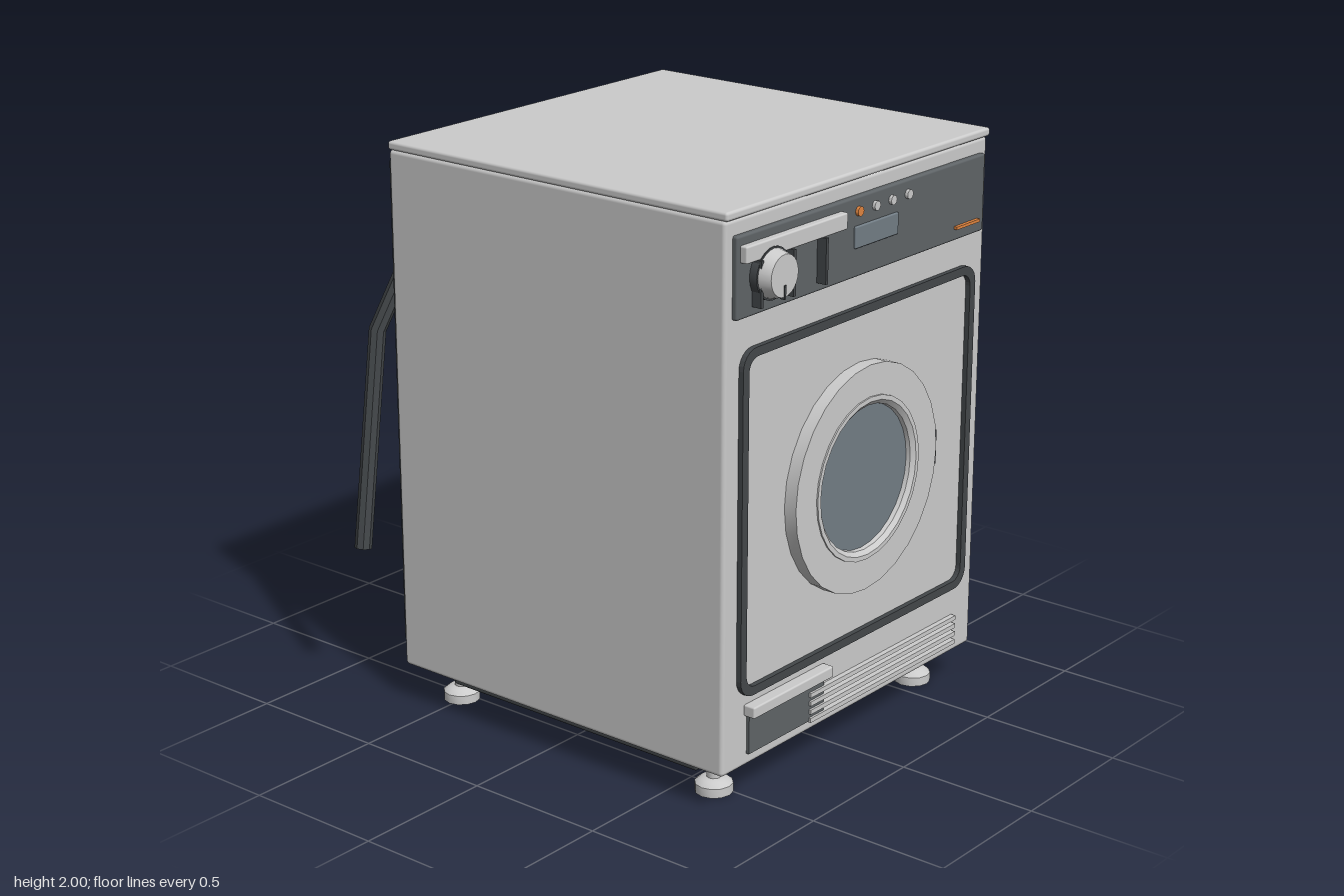
import * as THREE from 'three';
import { RoundedBoxGeometry } from 'three/addons/geometries/RoundedBoxGeometry.js';
import { toCreasedNormals } from 'three/addons/utils/BufferGeometryUtils.js';

const mat = (color) => new THREE.MeshStandardMaterial({ color });
const GREY = mat(0xcccccc);
const PANEL = mat(0x5f6467);
const DARK = mat(0x43474a);
const GLASS = mat(0x727d85);
const ORANGE = mat(0xe08540);

export function createModel() {
  const model = new THREE.Group();

  const add = (name, geometry, material) => {
    const mesh = new THREE.Mesh(geometry, material);
    mesh.name = name;
    model.add(mesh);
    return mesh;
  };
  // Box given by its limits on each axis; r rounds the edges
  const box = (name, material, [x0, x1], [y0, y1], [z0, z1], r = 0) => {
    const size = [x1 - x0, y1 - y0, z1 - z0];
    const geometry = r ? new RoundedBoxGeometry(...size, 2, r) : new THREE.BoxGeometry(...size);
    geometry.translate((x0 + x1) / 2, (y0 + y1) / 2, (z0 + z1) / 2);
    return add(name, geometry, material);
  };
  // Round part along z, from z0 to z1
  const disc = (name, material, x, y, [z0, z1], r0, r1 = r0, sides = 24) => {
    const geometry = new THREE.CylinderGeometry(r1, r0, z1 - z0, sides);
    geometry.rotateX(Math.PI / 2).translate(x, y, (z0 + z1) / 2);
    return add(name, toCreasedNormals(geometry, 0.6), material);
  };
  // Turned ring along z; profile points are [radius, z]
  const ring = (name, material, x, y, profile, sides = 28) => {
    const points = profile.map(([r, z]) => new THREE.Vector2(r, z));
    const geometry = new THREE.LatheGeometry(points, sides);
    geometry.rotateX(Math.PI / 2).translate(x, y, 0);
    const mesh = add(name, toCreasedNormals(geometry, 0.5), material.clone());
    mesh.material.side = THREE.DoubleSide;
    return mesh;
  };

  // Cabinet
  box('cabinet', GREY, [-0.665, 0.74], [0.135, 1.972], [-0.65, 0.757], 0.015);
  box('lid', GREY, [-0.667, 0.745], [1.97, 2], [-0.652, 0.765], 0.01);
  box('plinth', DARK, [-0.595, 0.64], [0.082, 0.14], [-0.485, 0.595], 0.01);

  // Levelling feet
  const footProfile = [[0, 0], [0.064, 0], [0.064, 0.032], [0.045, 0.048], [0.025, 0.052], [0.025, 0.14]]
    .map(([r, y]) => new THREE.Vector2(r, y));
  for (const x of [-0.53, 0.595]) {
    for (const z of [-0.51, 0.617]) {
      const geometry = toCreasedNormals(new THREE.LatheGeometry(footProfile, 12), 0.6);
      add('foot', geometry, GREY).position.set(x, 0, z);
    }
  }

  // Control panel and detergent drawer
  box('controlPanel', PANEL, [-0.63, 0.705], [1.655, 1.92], [0.745, 0.775], 0.008);
  box('drawerHandle', GREY, [-0.615, -0.1], [1.835, 1.89], [0.77, 0.8], 0.006);
  for (const x of [-0.55, -0.388, -0.222]) {
    box('drawerRib', DARK, [x - 0.006, x + 0.006], [1.685, 1.835], [0.77, 0.81]);
  }

  // Programme dial
  disc('dialBase', DARK, -0.485, 1.78, [0.77, 0.803], 0.085);
  disc('dial', GREY, -0.485, 1.78, [0.8, 0.845], 0.08, 0.068);
  box('dialPointer', DARK, [-0.489, -0.481], [1.705, 1.75], [0.83, 0.848]);

  // Indicator lights, display and accent strip
  for (let i = 0; i < 4; i++) {
    disc('indicator', i ? GREY : ORANGE, -0.013 + i * 0.09, 1.872, [0.77, 0.786], 0.016, 0.016, 12);
  }
  box('display', GLASS, [-0.034, 0.2], [1.752, 1.825], [0.765, 0.783], 0.005);
  box('accentStrip', ORANGE, [0.53, 0.665], [1.695, 1.705], [0.77, 0.788]);

  // Rounded frame around the door panel
  const roundedRect = (Type, x0, x1, y0, y1, r) => {
    const path = new Type();
    path.absarc(x1 - r, y1 - r, r, 0, Math.PI / 2);
    path.absarc(x0 + r, y1 - r, r, Math.PI / 2, Math.PI);
    path.absarc(x0 + r, y0 + r, r, Math.PI, Math.PI * 1.5);
    path.absarc(x1 - r, y0 + r, r, Math.PI * 1.5, Math.PI * 2);
    path.closePath();
    return path;
  };
  const frame = roundedRect(THREE.Shape, -0.595, 0.67, 0.385, 1.55, 0.065);
  frame.holes.push(roundedRect(THREE.Path, -0.565, 0.64, 0.415, 1.52, 0.045));
  const frameGeometry = new THREE.ExtrudeGeometry(frame, { depth: 0.025, bevelEnabled: false, curveSegments: 3 });
  add('doorFrame', frameGeometry.translate(0, 0, 0.75), DARK);

  // Round door with trim ring, window and catch
  const [dx, dy] = [0.035, 0.966];
  ring('door', GREY, dx, dy, [[0.39, 0.75], [0.39, 0.803], [0.28, 0.803], [0.28, 0.75]]);
  ring('doorTrim', GREY, dx, dy, [[0.283, 0.78], [0.281, 0.808], [0.265, 0.808], [0.25, 0.795], [0.245, 0.76]]);
  disc('window', GLASS, dx, dy, [0.75, 0.78], 0.25, 0.25, 28);
  box('doorCatch', DARK, [0.418, 0.432], [0.905, 1.025], [0.75, 0.798]);

  // Lower flap and vent slats
  box('flap', PANEL, [-0.54, -0.14], [0.178, 0.325], [0.75, 0.768]);
  box('flapHandle', GREY, [-0.555, -0.13], [0.315, 0.355], [0.755, 0.8], 0.006);
  for (let i = 0; i < 4; i++) {
    const y = 0.182 + i * 0.03;
    box('ventSlat', GREY, [-0.22, 0.62], [y - 0.008, y + 0.008], [0.75, 0.776]);
  }

  // Back panel with two rails
  box('backPanel', DARK, [-0.63, 0.7], [0.21, 1.925], [-0.685, -0.64], 0.008);
  for (const y of [1.775, 0.345]) {
    box('backRail', GREY, [-0.55, 0.62], [y - 0.02, y + 0.02], [-0.705, -0.68], 0.005);
  }

  // Hoses and power cable, each bent once
  const hose = (name, material, radius, ...points) => {
    const path = new THREE.CurvePath();
    const p = points.map((c) => new THREE.Vector3(...c));
    path.add(new THREE.LineCurve3(p[0], p[1]));
    path.add(new THREE.LineCurve3(p[1], p[2]));
    // Sections at both ends and at the bend, the latter tilted halfway
    const dirs = [p[1].clone().sub(p[0]).normalize(), p[2].clone().sub(p[1]).normalize()];
    path.getPointAt = (t) => p[Math.round(t * 2)].clone();
    path.getTangentAt = (t) => [dirs[0], dirs[0].clone().add(dirs[1]).normalize(), dirs[1]][Math.round(t * 2)].clone();
    const tube = add(name, toCreasedNormals(new THREE.TubeGeometry(path, 2, radius, 8), 0.3), material);
    // End caps
    [[p[0], dirs[0].clone().negate()], [p[2], dirs[1]]].forEach(([at, dir]) => {
      const cap = new THREE.Mesh(new THREE.CircleGeometry(radius, 8), material);
      cap.name = name + 'End';
      cap.position.copy(at);
      cap.quaternion.setFromUnitVectors(new THREE.Vector3(0, 0, 1), dir);
      tube.add(cap);
    });
  };
  hose('drainHose', DARK, 0.03, [-0.45, 1.68, -0.7], [-0.58, 1.3, -0.815], [-0.715, 0.55, -0.785]);
  hose('inletHose', GREY, 0.022, [0.47, 1.5, -0.69], [0.6, 0.95, -0.79], [0.7, 0.36, -0.745]);
  hose('powerCable', DARK, 0.017, [0.38, 1.77, -0.7], [0.43, 1.43, -0.78], [0.325, 1.13, -0.725]);
  disc('drainNeck', GREY, -0.43, 1.675, [-0.715, -0.68], 0.035, 0.035, 12);
  disc('drainConnector', GREY, -0.43, 1.675, [-0.765, -0.71], 0.04, 0.05, 12);
  disc('cableGland', GREY, 0.38, 1.78, [-0.715, -0.68], 0.022, 0.03, 10);

  return model;
}
